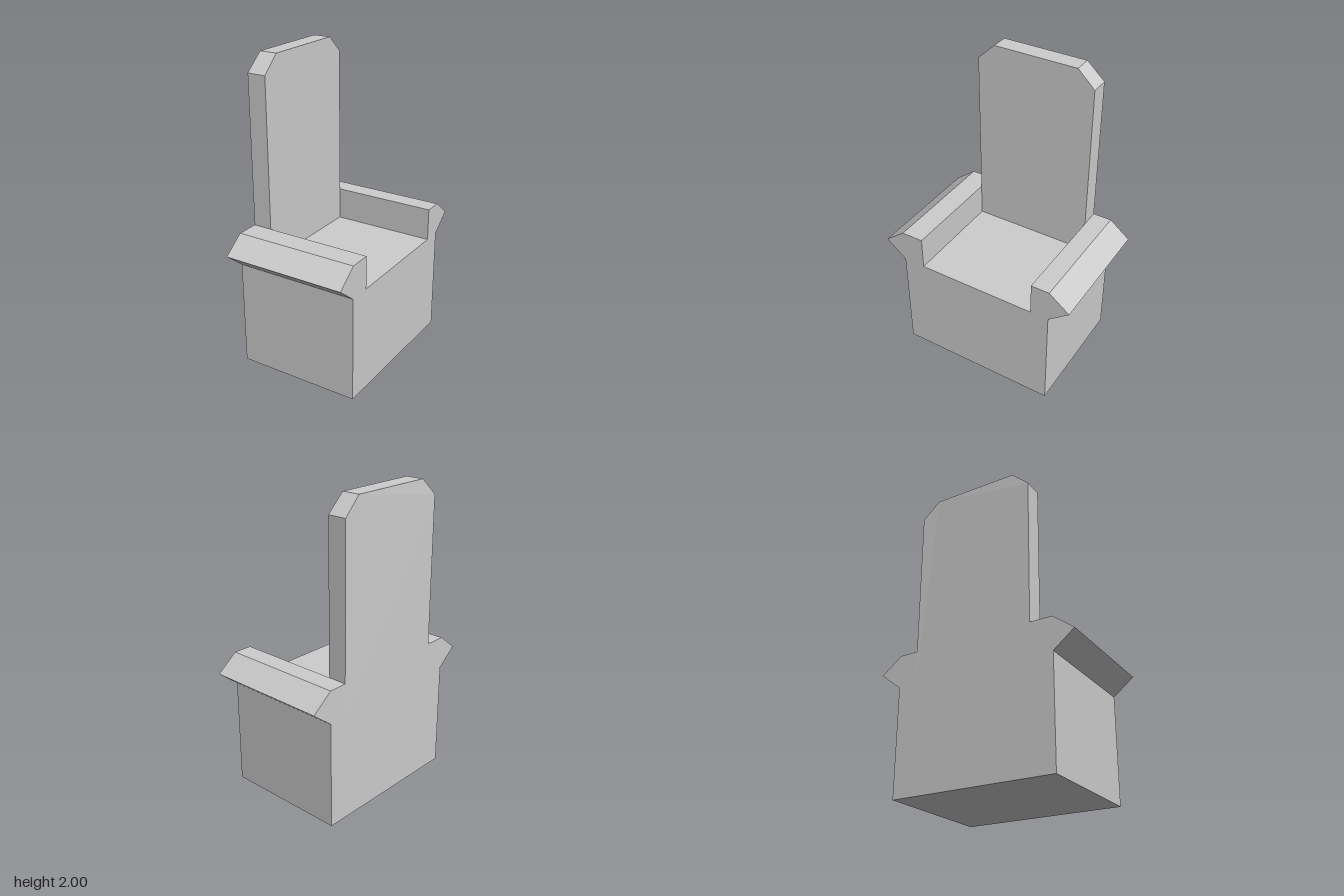
import * as THREE from 'three';

// Extrudes a [z, y] outline along x, from x0 to x1.
function extrudeAlongX(points, x0, x1) {
  const shape = new THREE.Shape(points.map(([z, y]) => new THREE.Vector2(-z, y)));
  const geometry = new THREE.ExtrudeGeometry(shape, { depth: x1 - x0, bevelEnabled: false });
  return geometry.rotateY(Math.PI / 2).translate(x0, 0, 0);
}

export function createModel() {
  const group = new THREE.Group();
  const stone = new THREE.MeshStandardMaterial({ color: 0xcccccc });
  stone.name = 'stone grey';

  const add = (name, geometry) => {
    const mesh = new THREE.Mesh(geometry, stone);
    mesh.name = name;
    group.add(mesh);
  };

  const back = -0.411, front = 0.411;
  const seatY = 0.7, armY = 0.916;
  const innerLeft = 0.388, innerRight = -0.413;

  // Block seat with flared armrests, one continuous outline
  add('seatAndArmrests', extrudeAlongX([
    [0.535, 0], [0.535, seatY], [0.672, 0.81], [0.535, armY], [innerLeft, armY], [innerLeft, seatY],
    [innerRight, seatY], [innerRight, armY], [-0.537, armY], [-0.674, 0.81], [-0.535, seatY], [-0.535, 0],
  ], back, front));

  // Tall backrest with clipped top corners
  const backrest = extrudeAlongX([
    [innerLeft, seatY], [innerLeft, 1.89], [0.272, 2],
    [-0.297, 2], [innerRight, 1.89], [innerRight, seatY],
  ], back, -0.285);
  // The rear face leans in slightly at the very top
  const position = backrest.attributes.position;
  for (let i = 0; i < position.count; i++) {
    if (position.getY(i) > 1.95 && position.getX(i) < -0.4) position.setX(i, -0.404);
  }
  backrest.computeVertexNormals();
  add('backrest', backrest);

  return group;
}
